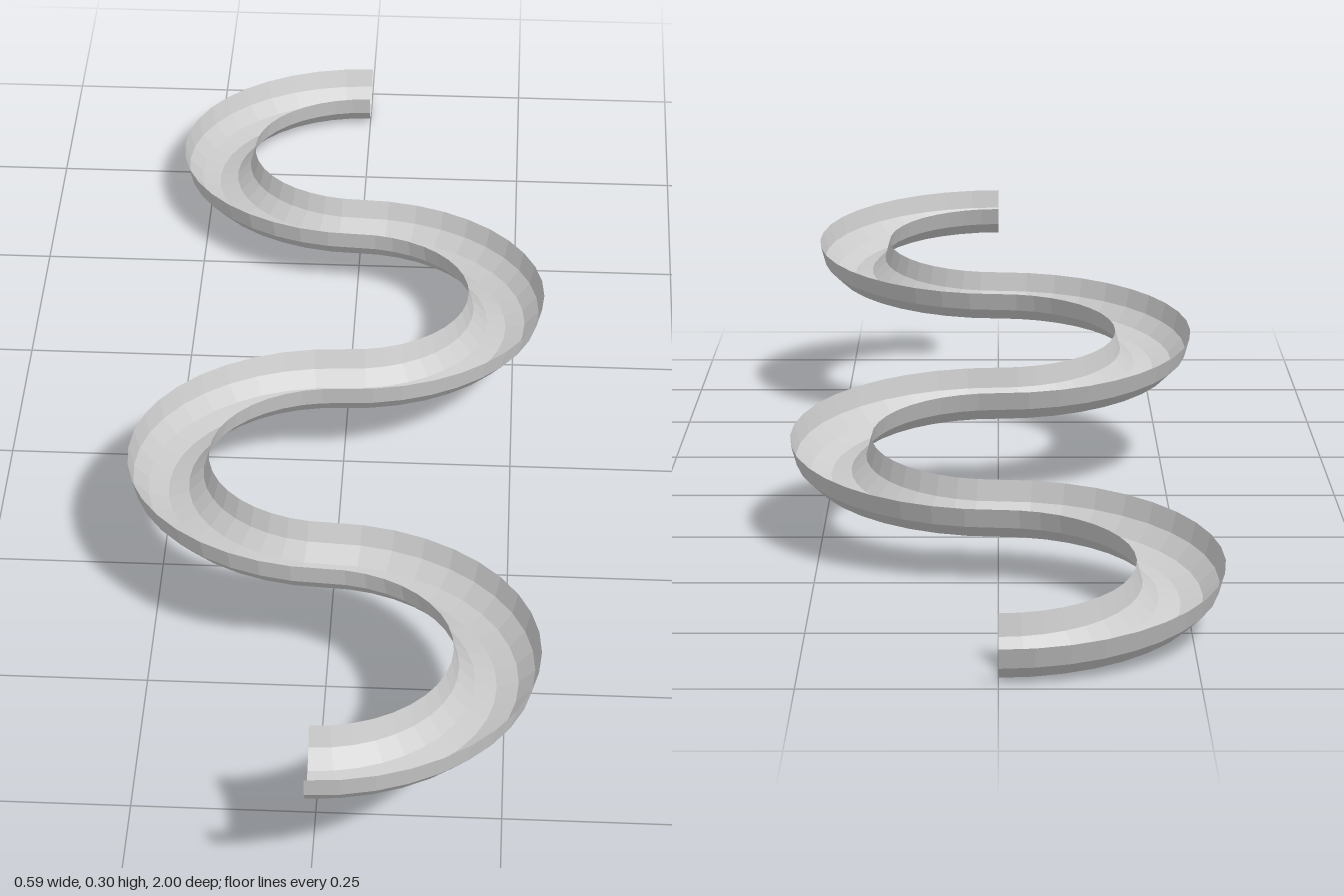
import * as THREE from 'three';

export function createModel() {
  const R = 0.2375;      // centre-line radius of each bend
  const r = 0.0577;      // radius of the half-pipe trough
  const tilt = 0.1244;   // downhill slope in radians
  const bends = 4;

  const material = new THREE.MeshStandardMaterial({
    color: 0xcccccc, flatShading: true, side: THREE.DoubleSide,
  });

  // Half-round trough section, six sides, from inner rim to outer rim
  const section = [];
  for (let i = 0; i <= 6; i++) {
    const a = Math.PI + (i / 6) * Math.PI;
    section.push(new THREE.Vector2(R + r * Math.cos(a), r * Math.sin(a)));
  }

  // Half-turn bends alternate sides along the slide, from the high front end
  const slide = new THREE.Group();
  slide.name = 'slide';
  for (let i = 0; i < bends; i++) {
    const start = i % 2 === 0 ? 0 : Math.PI;
    const bend = new THREE.Mesh(new THREE.LatheGeometry(section, 20, start, Math.PI), material);
    bend.name = 'troughBend' + (i + 1);
    bend.position.z = (bends - 1 - 2 * i) * R;
    slide.add(bend);
  }

  // The whole flat track is tilted so its front end is high
  slide.rotation.x = -tilt;
  const group = new THREE.Group();
  group.name = 'waterSlide';
  group.add(slide);

  // Rest on the ground and centre
  const box = new THREE.Box3().setFromObject(group, true);
  slide.position.y = -box.min.y;
  slide.position.z = -(box.min.z + box.max.z) / 2;
  return group;
}
